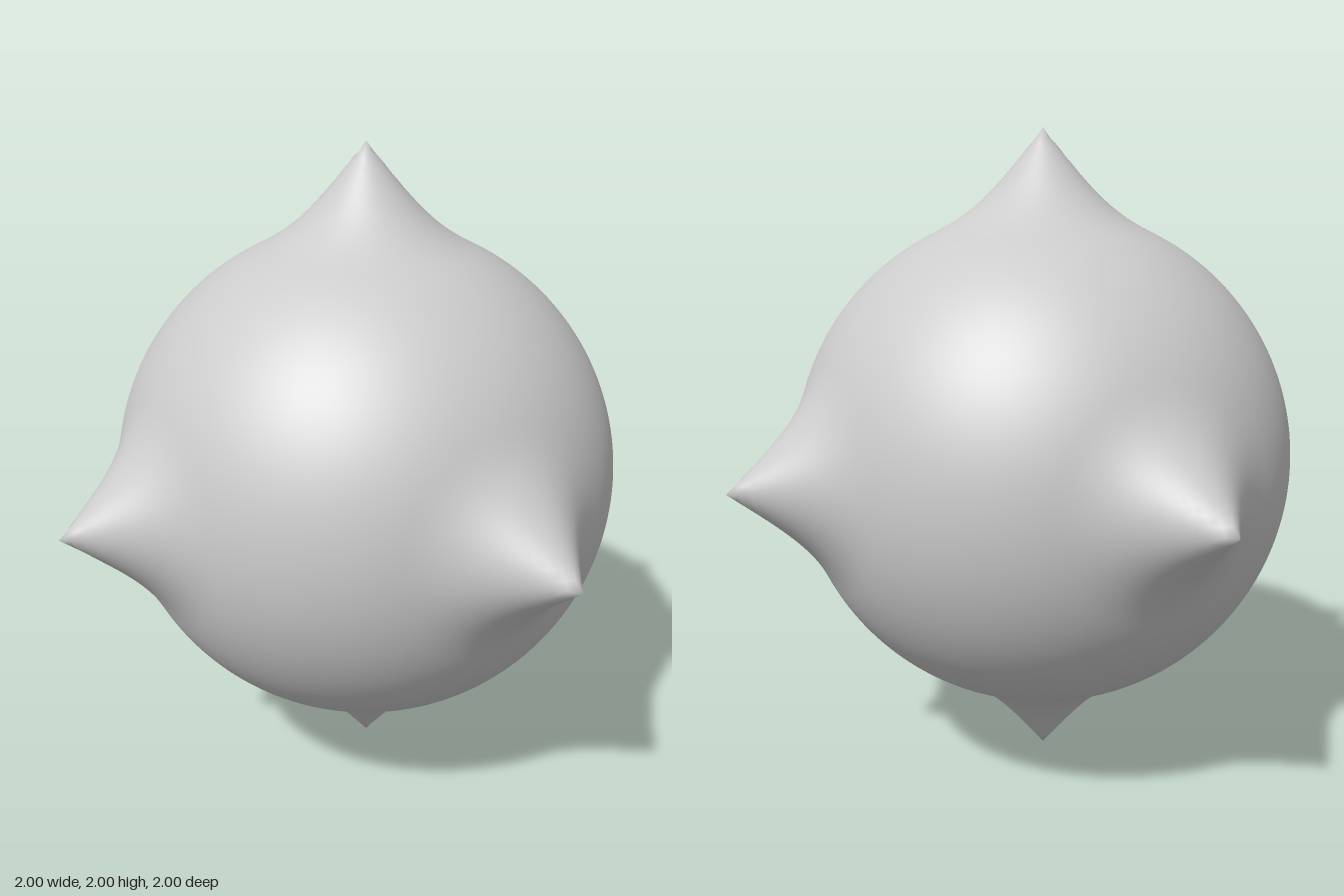
import * as THREE from 'three';
import { mergeVertices } from 'three/addons/utils/BufferGeometryUtils.js';

const BASE = 0.768;                          // ball radius
const SPIKE = 1 - BASE;                      // spike height above the ball
const REACH = THREE.MathUtils.degToRad(27);  // angle at which a spike melts into the ball

// Radius of the surface in a unit direction: a flared spike around every axis
function radiusAt(d) {
  const nearest = Math.max(Math.abs(d.x), Math.abs(d.y), Math.abs(d.z));
  const angle = Math.acos(Math.min(1, nearest));
  return BASE + SPIKE * Math.pow(Math.max(0, 1 - angle / REACH), 2.5);
}

export function createModel() {
  const group = new THREE.Group();
  group.name = 'spikedBall';

  // Subdivided cube, spread evenly over a sphere, so each face centre is a spike tip
  let geometry = new THREE.BoxGeometry(2, 2, 2, 64, 64, 64);
  geometry.deleteAttribute('uv');
  geometry.deleteAttribute('normal');
  geometry = mergeVertices(geometry, 1e-5);

  const position = geometry.attributes.position;
  const even = (t) => Math.tan(t * Math.PI / 4);
  const v = new THREE.Vector3();
  for (let i = 0; i < position.count; i++) {
    v.fromBufferAttribute(position, i);
    v.set(even(v.x), even(v.y), even(v.z)).normalize();
    v.multiplyScalar(radiusAt(v));
    position.setXYZ(i, v.x, v.y, v.z);
  }
  geometry.computeVertexNormals();

  // Ball with six spikes, lower tip on the ground
  const ball = new THREE.Mesh(geometry, new THREE.MeshStandardMaterial({ color: 0xcccccc }));
  ball.name = 'ballWithSpikes';
  ball.position.y = 1;
  group.add(ball);
  return group;
}
